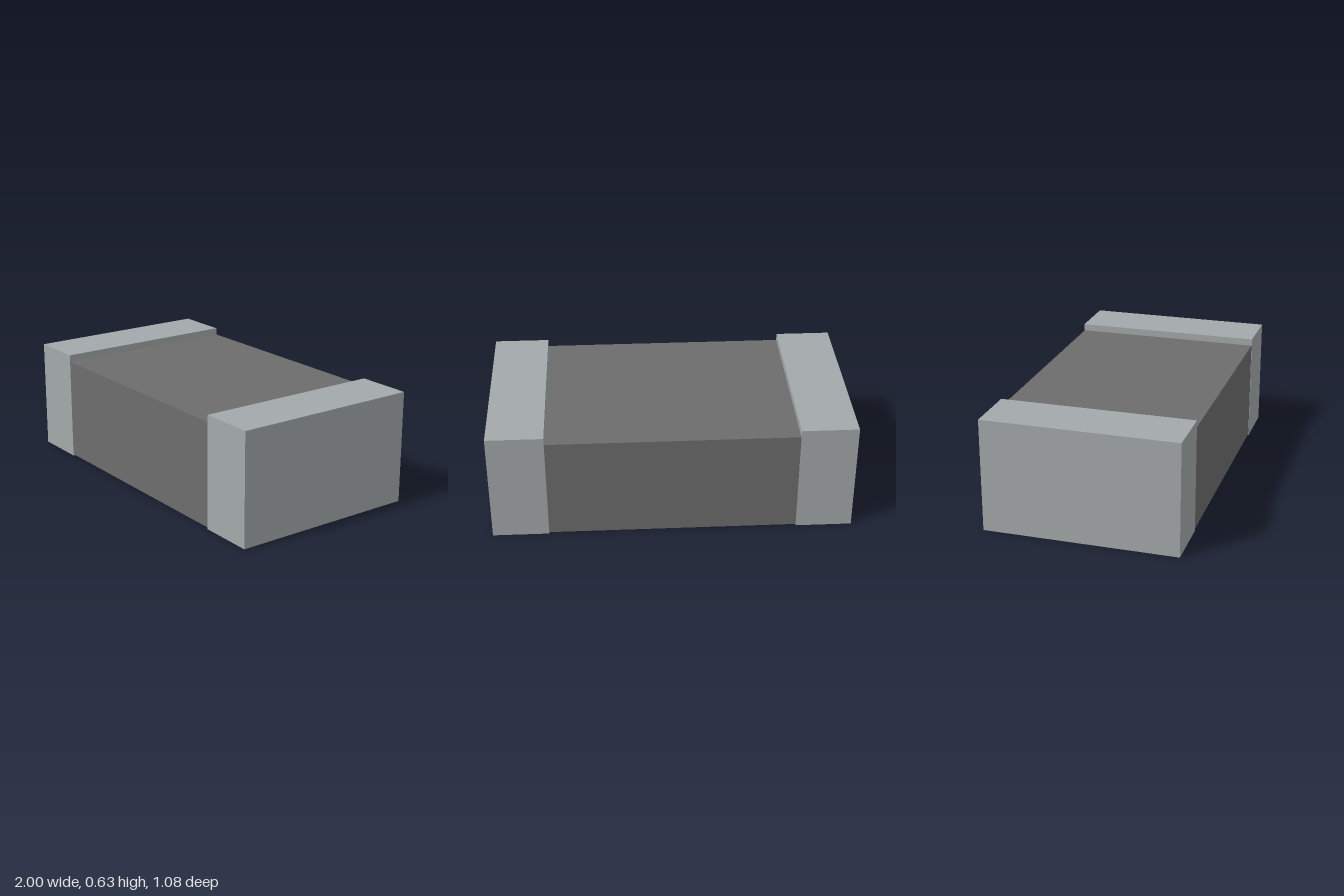
import * as THREE from 'three';

export function createModel() {
  const group = new THREE.Group();
  const bodyGrey = new THREE.MeshStandardMaterial({ color: 0x6d6d6d });
  bodyGrey.name = 'dark grey ceramic';
  const capGrey = new THREE.MeshStandardMaterial({ color: 0xa3a9aa });
  capGrey.name = 'light grey metal';

  const addBox = (name, material, [w, h, d], [x, y, z]) => {
    const mesh = new THREE.Mesh(new THREE.BoxGeometry(w, h, d), material);
    mesh.name = name;
    mesh.position.set(x, y, z);
    group.add(mesh);
  };

  // Core block, a hair shallower than the caps so their sides stay clean
  addBox('body', bodyGrey, [1.79, 0.582, 1.072], [0, 0.299, 0]);

  // End caps, mirrored left and right
  for (const side of [1, -1]) {
    addBox(side > 0 ? 'leftEndCap' : 'rightEndCap', capGrey,
      [0.312, 0.63, 1.076], [side * 0.844, 0.315, 0]);
  }
  return group;
}
